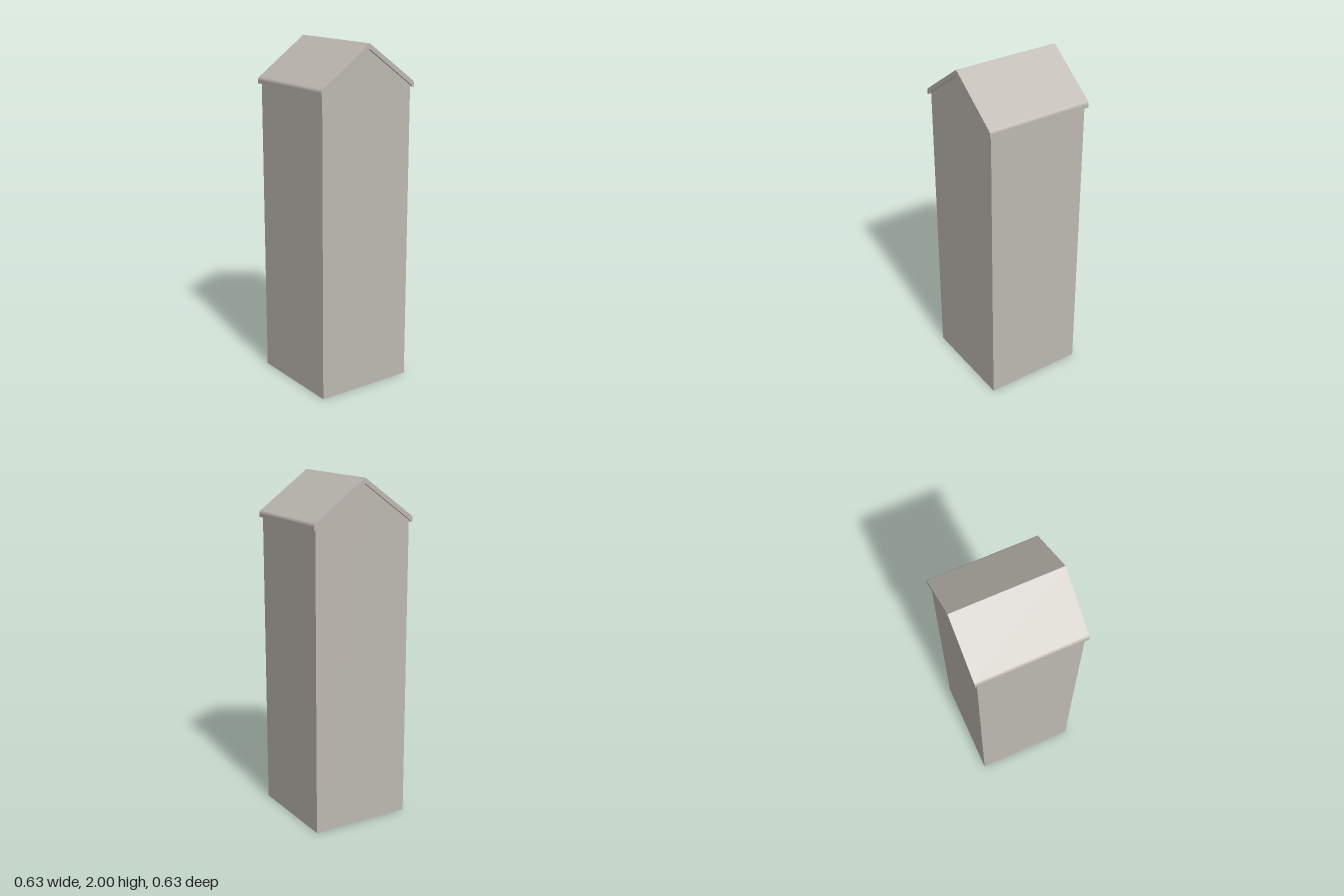
import * as THREE from 'three';

const WALL = 0.3;         // half width of the tower
const EAVE = 0.315;       // half width of the roof

// Builds a prism from half of a symmetric outline, centred on z = 0.
function gablePrism(half, depth, material, name) {
  const mirrored = half.slice().reverse().map(([x, y]) => [-x, y]);
  const outline = [...half, ...mirrored].map(([x, y]) => new THREE.Vector2(x, y));
  const geometry = new THREE.ExtrudeGeometry(new THREE.Shape(outline), { depth, bevelEnabled: false });
  geometry.translate(0, 0, -depth / 2);
  const mesh = new THREE.Mesh(geometry, material);
  mesh.name = name;
  return mesh;
}

export function createModel() {
  const stone = new THREE.MeshStandardMaterial({ color: 0xbdb8b1 });
  stone.name = 'warm grey stone';

  const model = new THREE.Group();
  model.name = 'gabledTower';

  // Square shaft with pointed gable ends
  model.add(gablePrism([[WALL, 0], [WALL, 1.752], [0.001, 1.969]], WALL * 2, stone, 'tower'));

  // Roof shell: underside, drip edge, rounded eave, slope and blunt ridge
  const roofHalf = [
    [0.001, 1.969], [WALL, 1.752], [WALL, 1.745], [EAVE, 1.742],
    [EAVE, 1.764], [0.313, 1.771], [0.309, 1.777], [0.303, 1.782],
    [0.005, 1.997], [0.001, 2],
  ];
  model.add(gablePrism(roofHalf, EAVE * 2, stone, 'roof'));

  return model;
}
